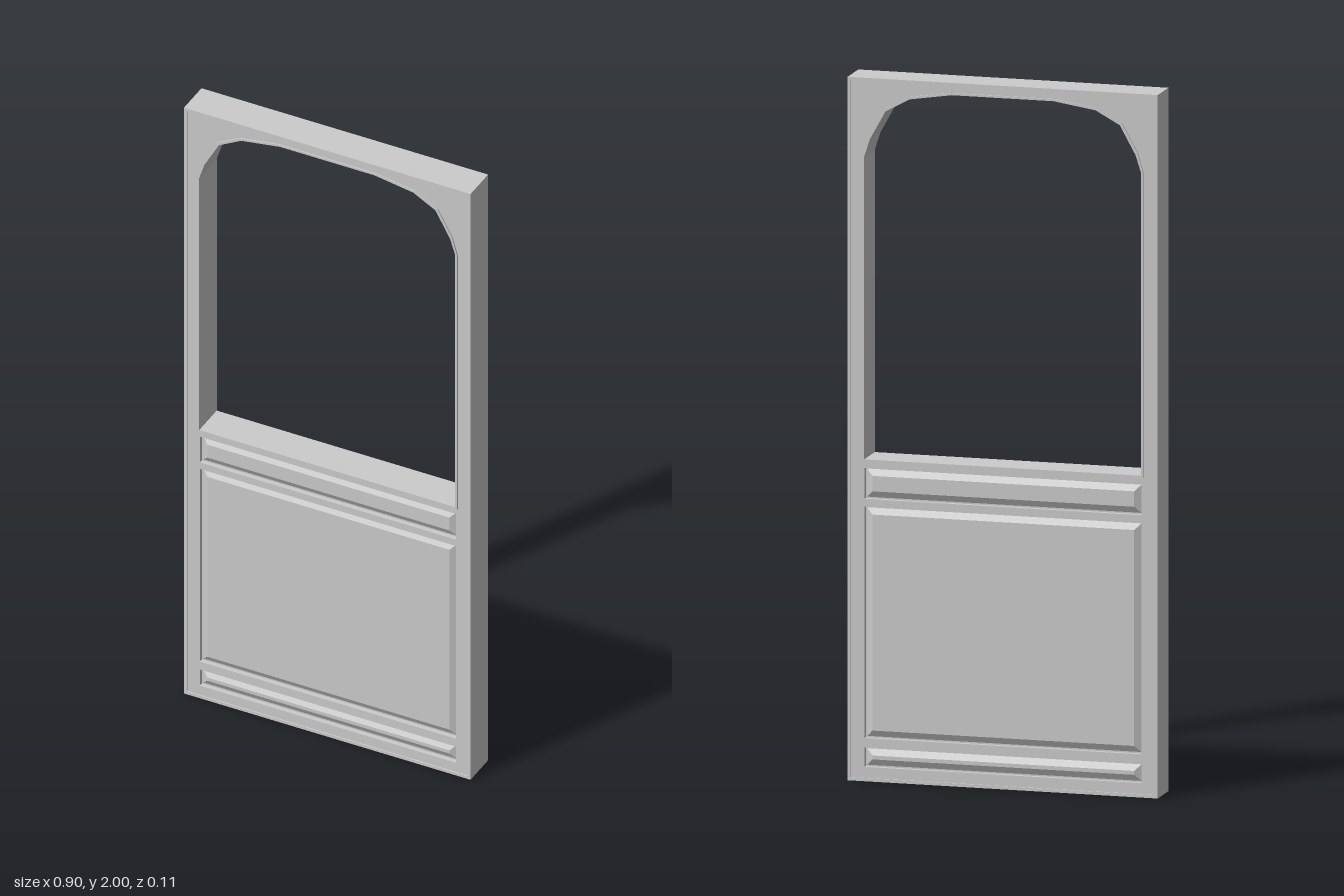
import * as THREE from 'three';

const W = 0.45, H = 2, FACE = 0.049, LIP = 0.053, CORE = 0.036;
const material = new THREE.MeshStandardMaterial({ color: 0xcccccc, flatShading: true });

// Right half of the arched window head, from the side to the crown
const ARCH = [[0.402, 1.775], [0.386, 1.825], [0.34, 1.908], [0.27, 1.946], [0.148, 1.965]];
const SILL = 0.915;

// Panels as [bottom, top]
const PANELS = [[0.04, 0.095], [0.122, 0.78], [0.802, 0.89]];
const PANEL_X = 0.402;

const rect = (x, y0, y1) => [[-x, y0], [x, y0], [x, y1], [-x, y1]];

// Window outline, grown outwards by g
function windowPoints(g = 0) {
  const right = ARCH.map(([x, y]) => [x + g * Math.min(1, x / 0.34), y + (y > 1.8 ? g : 0)]);
  const left = right.map(([x, y]) => [-x, y]).reverse();
  return [[-0.402 - g, SILL - g], [0.402 + g, SILL - g], ...right, ...left];
}

const vecs = (pts) => pts.map(([x, y]) => new THREE.Vector2(x, y));

// Flat plate between z0 and z1 with holes
function plate(name, outline, holes, z0, z1) {
  const shape = new THREE.Shape(vecs(outline));
  shape.holes = holes.map((h) => new THREE.Path(vecs(h)));
  const geometry = new THREE.ExtrudeGeometry(shape, { depth: z1 - z0, bevelEnabled: false });
  geometry.translate(0, 0, z0);
  const mesh = new THREE.Mesh(geometry, material);
  mesh.name = name;
  return mesh;
}

// Raised panel field: a box whose front face is drawn in to form sloping edges
function raisedField(y0, y1) {
  const gap = 0.004, slope = 0.018;
  const w = 2 * (PANEL_X - gap), h = y1 - y0 - 2 * gap, d = 0.01;
  const geometry = new THREE.BoxGeometry(w, h, d);
  const p = geometry.attributes.position;
  for (let i = 0; i < p.count; i++) {
    if (p.getZ(i) < 0) continue;
    p.setX(i, p.getX(i) * (1 - 2 * slope / w));
    p.setY(i, p.getY(i) * (1 - 2 * slope / h));
  }
  geometry.computeVertexNormals();
  const mesh = new THREE.Mesh(geometry, material);
  mesh.name = 'raisedPanel';
  mesh.position.set(0, (y0 + y1) / 2, CORE + d / 2);
  return mesh;
}

// Facing frame, edge lips and panels of one side of the door
function doorFace(name) {
  const face = new THREE.Group();
  face.name = name;
  const outer = rect(W, 0, H);
  const panelHoles = PANELS.map(([a, b]) => rect(PANEL_X, a, b));
  face.add(
    plate('facingFrame', outer, [windowPoints(), ...panelHoles], CORE, FACE),
    plate('outerLip', outer, [rect(W - 0.009, 0.009, H - 0.009)], FACE, LIP),
    plate('windowLip', windowPoints(0.006), [windowPoints()], FACE, LIP),
    ...PANELS.map(([a, b]) => raisedField(a, b)),
  );
  return face;
}

export function createModel() {
  const door = new THREE.Group();
  door.name = 'door';
  door.add(plate('doorCore', rect(W, 0, H), [windowPoints()], -CORE, CORE));
  const back = doorFace('backFace');
  back.rotation.y = Math.PI;
  door.add(doorFace('frontFace'), back);
  return door;
}
